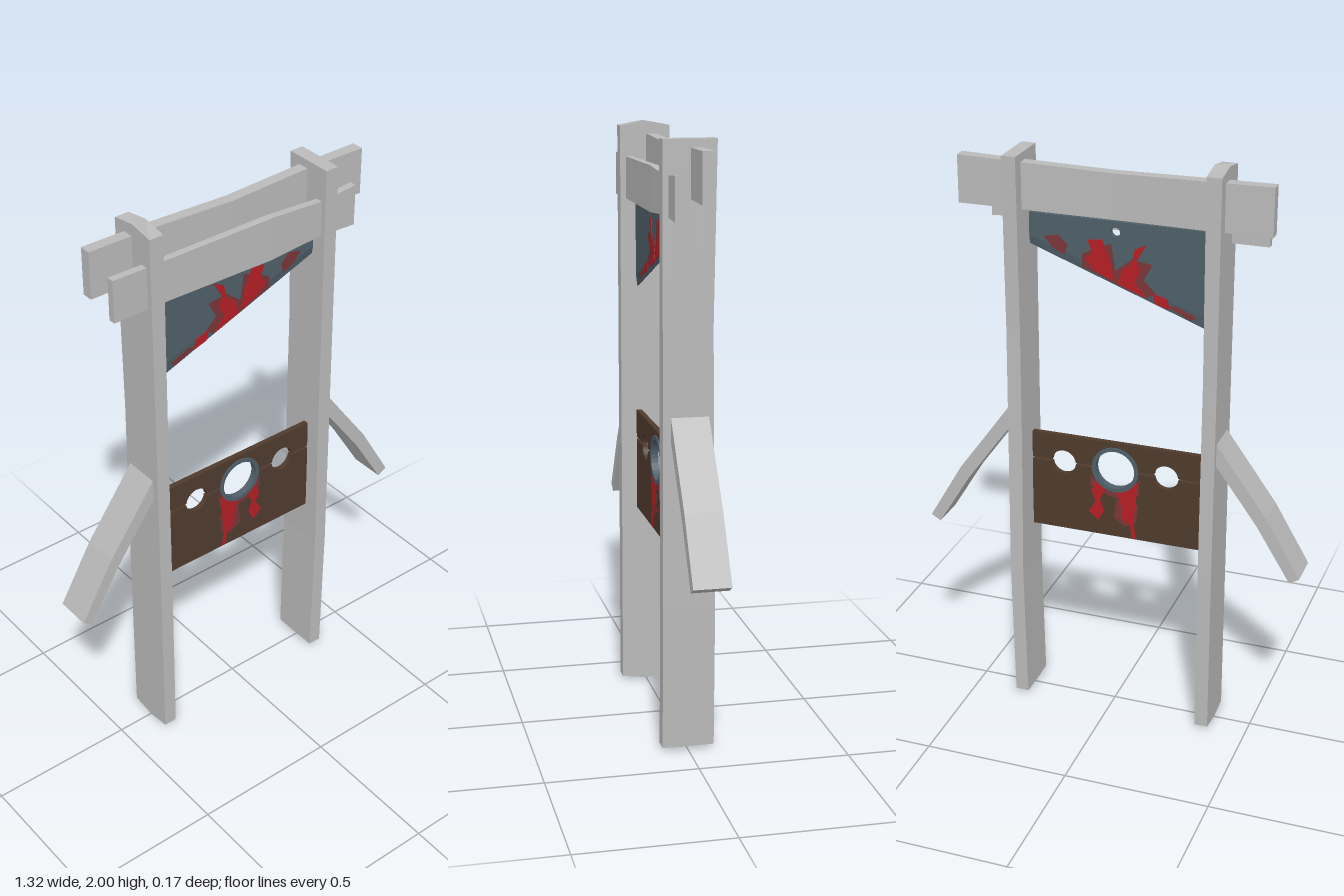
import * as THREE from 'three';

const material = (name, color) => {
  const m = new THREE.MeshStandardMaterial({ color });
  m.name = name;
  return m;
};

// Solid through matching rings of points, flat shaded, closed at both ends
function loft(rings) {
  const pos = [];
  const n = rings[0].length;
  const tri = (a, b, c) => pos.push(...a, ...b, ...c);
  for (let i = 0; i < rings.length - 1; i++) {
    for (let j = 0; j < n; j++) {
      const k = (j + 1) % n;
      tri(rings[i][j], rings[i][k], rings[i + 1][k]);
      tri(rings[i][j], rings[i + 1][k], rings[i + 1][j]);
    }
  }
  const first = rings[0], last = rings[rings.length - 1];
  for (let j = 1; j < n - 1; j++) {
    tri(first[0], first[j + 1], first[j]);
    tri(last[0], last[j], last[j + 1]);
  }
  const g = new THREE.BufferGeometry();
  g.setAttribute('position', new THREE.Float32BufferAttribute(pos, 3));
  g.computeVertexNormals();
  return g;
}

const outline = (pts) => new THREE.Shape(pts.map(([x, y]) => new THREE.Vector2(x, y)));

// Flat plate between two depths
function plate(shape, z0, z1) {
  const g = new THREE.ExtrudeGeometry(shape, { depth: z1 - z0, bevelEnabled: false, curveSegments: 16 });
  return g.translate(0, 0, z0);
}

// Upright board; each row is [y, x0, x1, zBack, rise of the centre line]
const post = (rows) => loft(rows.map(([y, x0, x1, zb, rise]) => [
  [x0, y, 0.086], [x1, y, 0.086], [x1, y + rise, 0],
  [x1, y, zb], [x0, y, zb], [x0, y + rise, 0],
]));

// Crossbeam; each row is [x, y0, y1, zBack, zFront]
const beam = (rows) => loft(rows.map(([x, y0, y1, zb, zf]) => [
  [x, y1, zb], [x, y1, zf], [x, y0, zf], [x, y0, zb],
]));

export function createModel() {
  const model = new THREE.Group();
  const wood = material('grey wood', 0xbababa);
  const brown = material('dark brown wood', 0x4f3b2d);
  const steel = material('blue grey steel', 0x4f5f69);
  const red = material('red stain', 0xb51f25);
  const dried = material('dried stain', 0x7a3538);

  const add = (name, geometry, mat) => {
    const mesh = new THREE.Mesh(geometry, mat);
    mesh.name = name;
    model.add(mesh);
  };

  // Posts, slightly warped
  add('rightPost', post([
    [0.012, -0.37, -0.324, -0.086, -0.012], [0.6, -0.37, -0.323, -0.086, 0],
    [1.3, -0.37, -0.324, -0.078, 0], [1.985, -0.372, -0.322, -0.086, 0.015],
  ]), wood);
  add('leftPost', post([
    [0.014, 0.3, 0.346, -0.086, -0.002], [0.5, 0.308, 0.354, -0.086, 0], [1.0, 0.303, 0.352, -0.08, 0],
    [1.4, 0.302, 0.35, -0.076, 0], [1.985, 0.3, 0.348, -0.086, 0],
  ]), wood);

  // Crossbeams through the posts
  add('backBeam', beam([
    [-0.525, 1.8, 1.96, -0.04, -0.002], [-0.3, 1.8, 1.957, -0.042, -0.004], [0, 1.8, 1.95, -0.036, 0.003],
    [0.3, 1.803, 1.957, -0.042, -0.004], [0.52, 1.8, 1.96, -0.038, 0.003],
  ]), wood);
  add('frontBeam', beam([
    [-0.494, 1.74, 1.885, 0.043, 0.068], [-0.3, 1.74, 1.882, 0.042, 0.066], [0.1, 1.738, 1.886, 0.046, 0.072],
    [0.3, 1.75, 1.872, 0.044, 0.068], [0.44, 1.742, 1.883, 0.043, 0.068],
  ]), wood);

  // Side braces
  const bracePoints = [[0.348, 1.125], [0.42, 1.025], [0.54, 0.86], [0.66, 0.655],
    [0.627, 0.635], [0.51, 0.825], [0.39, 0.99], [0.348, 1.045]];
  add('leftBrace', plate(outline(bracePoints), -0.063, 0.06), wood);
  add('rightBrace', plate(outline(bracePoints.map(([x, y]) => [-x - 0.004, y - 0.01])), -0.063, 0.06), wood);

  // Blade with a hanging hole and a tapered cutting edge
  const bladeShape = outline([[-0.325, 1.775], [-0.325, 1.48], [0.305, 1.7], [0.305, 1.775]]);
  bladeShape.holes.push(new THREE.Path().absarc(0.005, 1.74, 0.015, 0, Math.PI * 2, true));
  add('blade', plate(bladeShape, 0.019, 0.033), steel);
  add('bladeEdge', loft([[-0.325, 1.48, 1.438], [0.305, 1.7, 1.67]].map(([x, top, low]) => [
    [x, top, 0.019], [x, top, 0.033], [x, low, 0.028], [x, low, 0.024],
  ])), steel);

  // Two halves of the neck board with arm and neck openings
  const openings = [[-0.175, 0.043], [0.005, 0.075], [0.19, 0.043]];
  for (const side of [1, -1]) {
    const far = side > 0 ? 1.0 : 0.647;
    const near = 0.9 + side * 0.004;
    const s = new THREE.Shape();
    s.moveTo(-0.325, far);
    s.lineTo(-0.325, near);
    for (const [x, r] of openings) {
      const a = Math.asin(0.004 / r);
      s.absarc(x, 0.9, r, side * (Math.PI - a), side * a, side > 0);
    }
    s.lineTo(0.305, near);
    s.lineTo(0.305, far);
    add(side > 0 ? 'upperNeckBoard' : 'lowerNeckBoard', plate(s, 0.014, 0.032), brown);
  }

  // Steel collar around the neck opening
  const collar = new THREE.Shape().absarc(0.005, 0.9, 0.083, 0, Math.PI * 2, false);
  collar.holes.push(new THREE.Path().absarc(0.005, 0.9, 0.069, 0, Math.PI * 2, true));
  add('neckCollar', plate(collar, 0.011, 0.036), steel);

  // Stains, laid on both faces of the blade and of the lower neck board
  const bladeRed = [
    [[-0.1, 1.71], [-0.06, 1.69], [-0.05, 1.64], [-0.02, 1.62], [0, 1.567], [-0.1, 1.53], [-0.06, 1.58], [-0.08, 1.62], [-0.065, 1.65]],
    [[0.05, 1.71], [0.1, 1.705], [0.085, 1.66], [0.11, 1.64], [0.07, 1.6], [0.01, 1.575], [0.02, 1.63]],
    [[-0.17, 1.535], [-0.12, 1.55], [-0.13, 1.515], [-0.18, 1.5]],
  ];
  const bladeDried = [
    [[-0.12, 1.645], [-0.05, 1.655], [0.02, 1.6], [0.04, 1.58], [-0.1, 1.53], [-0.13, 1.55], [-0.09, 1.59]],
    [[0.02, 1.7], [0.045, 1.69], [0.12, 1.655], [0.12, 1.61], [0.0, 1.57]],
    [[0.17, 1.68], [0.2, 1.71], [0.25, 1.7], [0.22, 1.665], [0.18, 1.645]],
    [[-0.27, 1.485], [-0.2, 1.515], [-0.17, 1.51], [-0.25, 1.472]],
  ];
  const boardRed = [
    [[-0.074, 0.865], [-0.03, 0.825], [0, 0.816], [-0.015, 0.78], [-0.02, 0.72], [-0.05, 0.7], [-0.055, 0.65], [-0.07, 0.65], [-0.06, 0.72], [-0.07, 0.78]],
    [[0.04, 0.822], [0.075, 0.845], [0.09, 0.81], [0.075, 0.77], [0.1, 0.73], [0.065, 0.7], [0.045, 0.74], [0.06, 0.78]],
  ];
  const boardDried = [
    [[-0.085, 0.88], [-0.06, 0.84], [0, 0.818], [0.06, 0.835], [0.093, 0.87], [0.095, 0.83], [0.03, 0.8], [-0.03, 0.79], [-0.08, 0.82]],
    [[-0.08, 0.78], [0.0, 0.79], [0.01, 0.72], [-0.03, 0.69], [-0.07, 0.71]],
  ];
  const stain = (name, shapes, mat, back, front, lift) => {
    for (const pts of shapes) {
      add(name, plate(outline(pts), front, front + lift), mat);
      add(name, plate(outline(pts), back - lift, back), mat);
    }
  };
  stain('bladeStain', bladeRed, red, 0.019, 0.033, 0.002);
  stain('bladeDriedStain', bladeDried, dried, 0.019, 0.033, 0.001);
  stain('boardStain', boardRed, red, 0.014, 0.032, 0.002);
  stain('boardDriedStain', boardDried, dried, 0.014, 0.032, 0.001);

  return model;
}
